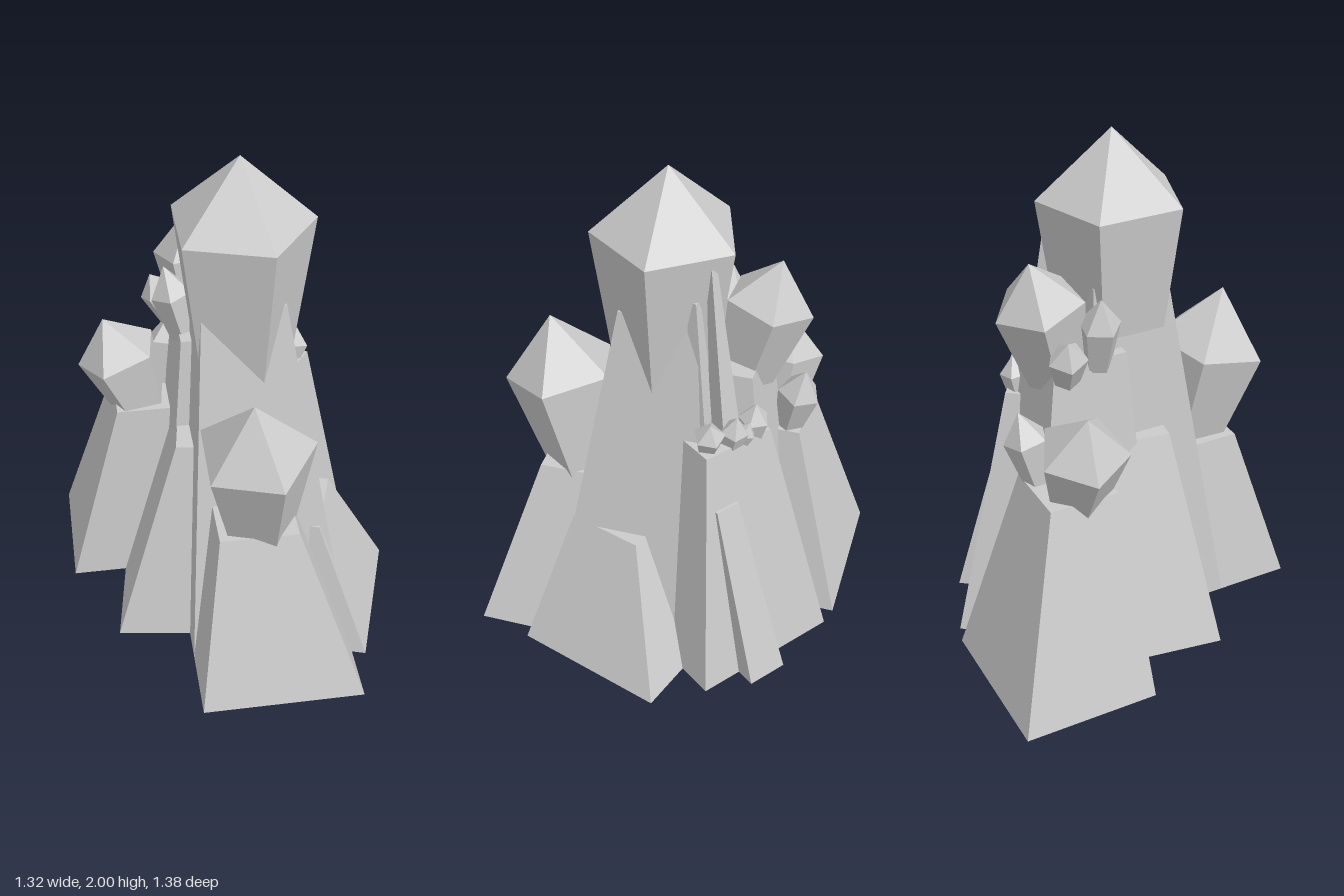
import * as THREE from 'three';

const stone = new THREE.MeshStandardMaterial({ color: 0xcccccc, flatShading: true });

// Tapered four-sided block: base and top are [x, z, width, depth], turned by angle.
function rock(name, height, base, top, angle = 0) {
  const g = new THREE.BoxGeometry(1, 1, 1);
  const p = g.attributes.position;
  const c = Math.cos(angle), s = Math.sin(angle);
  for (let i = 0; i < p.count; i++) {
    const up = p.getY(i) > 0;
    const [cx, cz, w, d] = up ? top : base;
    const x = p.getX(i) * w, z = p.getZ(i) * d;
    p.setXYZ(i, cx + x * c + z * s, up ? height : 0, cz - x * s + z * c);
  }
  g.computeVertexNormals();
  const mesh = new THREE.Mesh(g, stone);
  mesh.name = name;
  return mesh;
}

// Five-sided crystal growing from foot to tip, widest below its pointed cap.
function crystal(name, foot, tip, radius, shoulder, spin = 0) {
  const a = new THREE.Vector3(...foot);
  const axis = new THREE.Vector3(...tip).sub(a);
  const h = axis.length();
  const profile = [[0, 0], [radius * 0.65, 0], [radius, h * shoulder], [0, h]]
    .map(([x, y]) => new THREE.Vector2(x, y));
  const g = new THREE.LatheGeometry(profile, 5, Math.PI / 2 + spin);
  const mesh = new THREE.Mesh(g, stone);
  mesh.position.copy(a);
  mesh.quaternion.setFromUnitVectors(new THREE.Vector3(0, 1, 0), axis.normalize());
  mesh.name = name;
  return mesh;
}

export function createModel() {
  const model = new THREE.Group();
  model.name = 'crystalOutcrop';

  // Stepped rock columns
  model.add(
    rock('centralColumn', 1.47, [0.095, 0.085, 0.63, 0.62], [0.015, 0.0, 0.31, 0.30]),
    rock('frontRock', 0.68, [0.095, 0.375, 0.63, 0.63], [0.025, 0.335, 0.3, 0.3]),
    rock('backCornerRock', 0.8, [-0.345, -0.425, 0.63, 0.53], [-0.3, -0.34, 0.28, 0.27]),
    rock('leftSideRock', 0.85, [-0.15, -0.04, 0.62, 0.62], [-0.07, -0.01, 0.3, 0.3], -0.15),
    rock('rightSideRock', 0.55, [0.265, 0.085, 0.62, 0.62], [0.19, 0.125, 0.3, 0.3], -0.32),
    rock('backRock', 1.0, [0.105, -0.235, 0.62, 0.62], [0.12, -0.2, 0.3, 0.3], -0.64),
    rock('innerBackRock', 1.22, [-0.02, -0.22, 0.54, 0.54], [-0.05, -0.19, 0.29, 0.29])
  );

  // Thin slabs leaning against the back
  model.add(
    rock('backSlab', 0.77, [0.335, -0.445, 0.165, 0.165], [0.285, -0.275, 0.1, 0.09], -0.64),
    rock('tallSplinter', 1.69, [0.2, -0.36, 0.16, 0.16], [0.135, -0.185, 0.025, 0.03], -0.64),
    rock('shortSplinter', 1.56, [0.2, -0.24, 0.16, 0.16], [0.16, -0.13, 0.03, 0.035], -0.3)
  );

  // Large crystals
  model.add(
    crystal('mainCrystal', [0.02, 1.05, 0.01], [0.02, 2, 0.005], 0.28, 0.727),
    crystal('frontCrystal', [0.04, 0.64, 0.35], [0.0, 1.28, 0.48], 0.225, 0.64),
    crystal('leftCrystal', [-0.33, 0.74, -0.32], [-0.47, 1.16, -0.34], 0.17, 0.62, 0.5),
    crystal('backCrystal', [-0.07, 1.12, -0.27], [-0.11, 1.61, -0.385], 0.17, 0.65, 0.3)
  );

  // Small crystals around the back
  const small = [
    [[-0.22, 0.79, -0.42], [-0.19, 1.08, -0.48], 0.085],
    [[-0.2, 1.17, -0.29], [-0.28, 1.36, -0.32], 0.075],
    [[-0.17, 1.18, -0.15], [-0.24, 1.48, -0.17], 0.08],
    [[0.11, 0.95, -0.34], [0.125, 1.13, -0.36], 0.06],
    [[0.19, 0.94, -0.28], [0.21, 1.12, -0.31], 0.055],
    [[0.245, 0.97, -0.21], [0.285, 1.12, -0.23], 0.06],
    [[0.17, 0.96, -0.31], [0.175, 1.08, -0.35], 0.04],
  ];
  small.forEach(([foot, tip, r], i) =>
    model.add(crystal('smallCrystal' + (i + 1), foot, tip, r, 0.62, i * 0.4)));

  return model;
}
